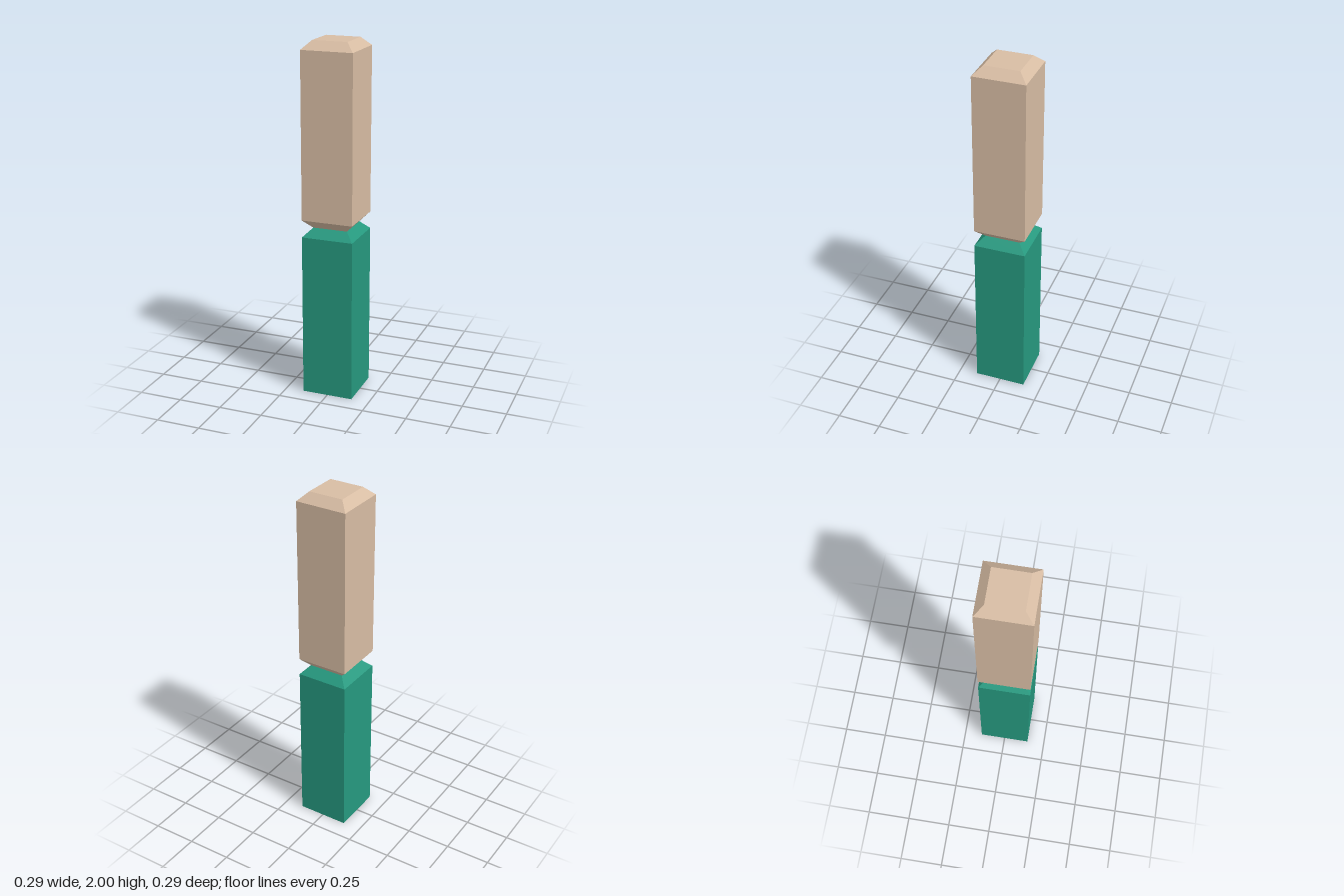
import * as THREE from 'three';

const HALF = 0.146; // half width of the square shafts
const NECK = 0.098; // half width at the chamfered ends

// Square block turned from a [half width, height] profile, listed bottom to top
function squareBlock(name, profile, material) {
  const points = profile.map(([w, y]) => new THREE.Vector2(w * Math.SQRT2, y));
  const geometry = new THREE.LatheGeometry(points, 4, Math.PI / 4).toNonIndexed();
  geometry.computeVertexNormals();
  const mesh = new THREE.Mesh(geometry, material);
  mesh.name = name;
  return mesh;
}

export function createModel() {
  const teal = new THREE.MeshStandardMaterial({ color: 0x26997f, flatShading: true });
  teal.name = 'teal';
  const tan = new THREE.MeshStandardMaterial({ color: 0xd8bda4, flatShading: true });
  tan.name = 'tan';

  const model = new THREE.Group();
  model.name = 'twoPartLimb';

  // Lower block: flat base, chamfered top
  model.add(squareBlock('lowerBlock', [
    [0, 0], [HALF, 0], [HALF, 0.928], [NECK, 0.976], [0, 0.976],
  ], teal));

  // Upper block: chamfered at both ends, resting on the lower one
  model.add(squareBlock('upperBlock', [
    [0, 0.976], [NECK, 0.976], [HALF, 1.025], [HALF, 1.953], [NECK, 2], [0, 2],
  ], tan));

  return model;
}
